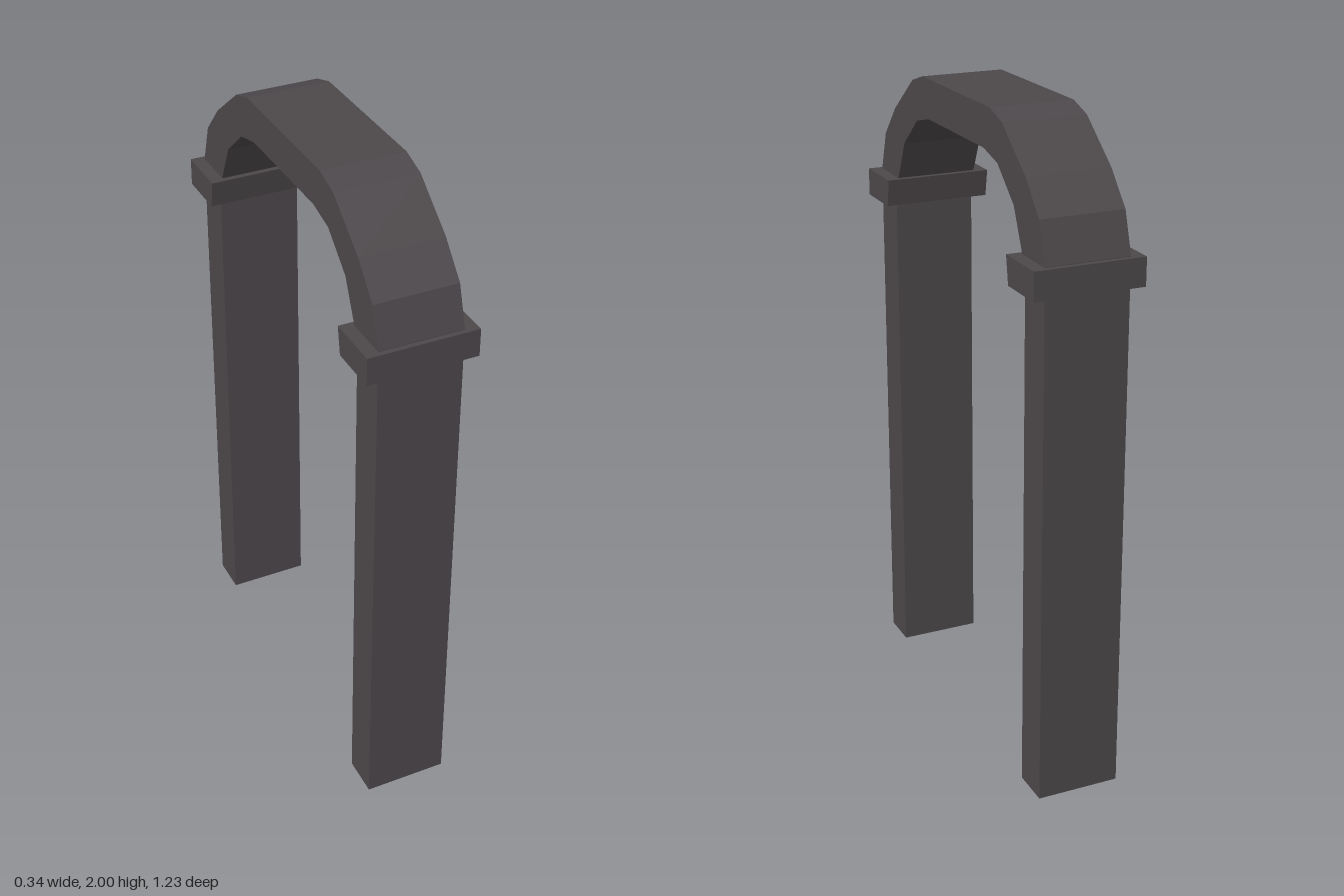
import * as THREE from 'three';

// Extrude a (z, y) outline along x, centred on x = 0
function extrudeAcross(points, width) {
  const shape = new THREE.Shape(points.map(([z, y]) => new THREE.Vector2(z, y)));
  const geometry = new THREE.ExtrudeGeometry(shape, { depth: width, bevelEnabled: false });
  return geometry.translate(0, 0, -width / 2).rotateY(-Math.PI / 2);
}

export function createModel() {
  const group = new THREE.Group();
  const stone = new THREE.MeshStandardMaterial({ color: 0x4d484b, flatShading: true, side: THREE.DoubleSide });
  stone.name = 'dark stone';

  const add = (name, geometry) => {
    const mesh = new THREE.Mesh(geometry, stone);
    mesh.name = name;
    group.add(mesh);
    return mesh;
  };

  const width = 0.256;
  const springY = 1.6;

  // Arch: half outlines from the springing up to the flat crown, then mirrored
  const outer = [[0.597, springY], [0.597, 1.645], [0.559, 1.765], [0.473, 1.86], [0.323, 1.975], [0.242, 2]];
  const inner = [[0.475, springY], [0.455, 1.645], [0.4, 1.765], [0.293, 1.857], [0.2, 1.88]];
  const mirror = (points) => points.map(([z, y]) => [-z, y]);
  const outline = [
    ...outer,
    ...mirror(outer).reverse(),
    ...mirror(inner),
    ...[...inner].reverse(),
  ];
  add('arch', extrudeAcross(outline, width));

  // Collar with a slightly slanted inner face
  const collar = [[0.613, 1.558], [0.613, 1.643], [0.438, 1.643], [0.452, 1.558]];

  for (const [side, s] of [['front', 1], ['back', -1]]) {
    // Hollow post, open at the bottom, its top closed by the collar
    const post = new THREE.CylinderGeometry(Math.SQRT1_2, Math.SQRT1_2, 1, 4, 1, true);
    post.rotateY(Math.PI / 4).scale(width, springY, 0.122).translate(0, springY / 2, s * 0.536);
    add(side + 'Post', post);

    const profile = s > 0 ? collar : mirror(collar);
    add(side + 'Collar', extrudeAcross(profile, 0.336));
  }

  return group;
}
